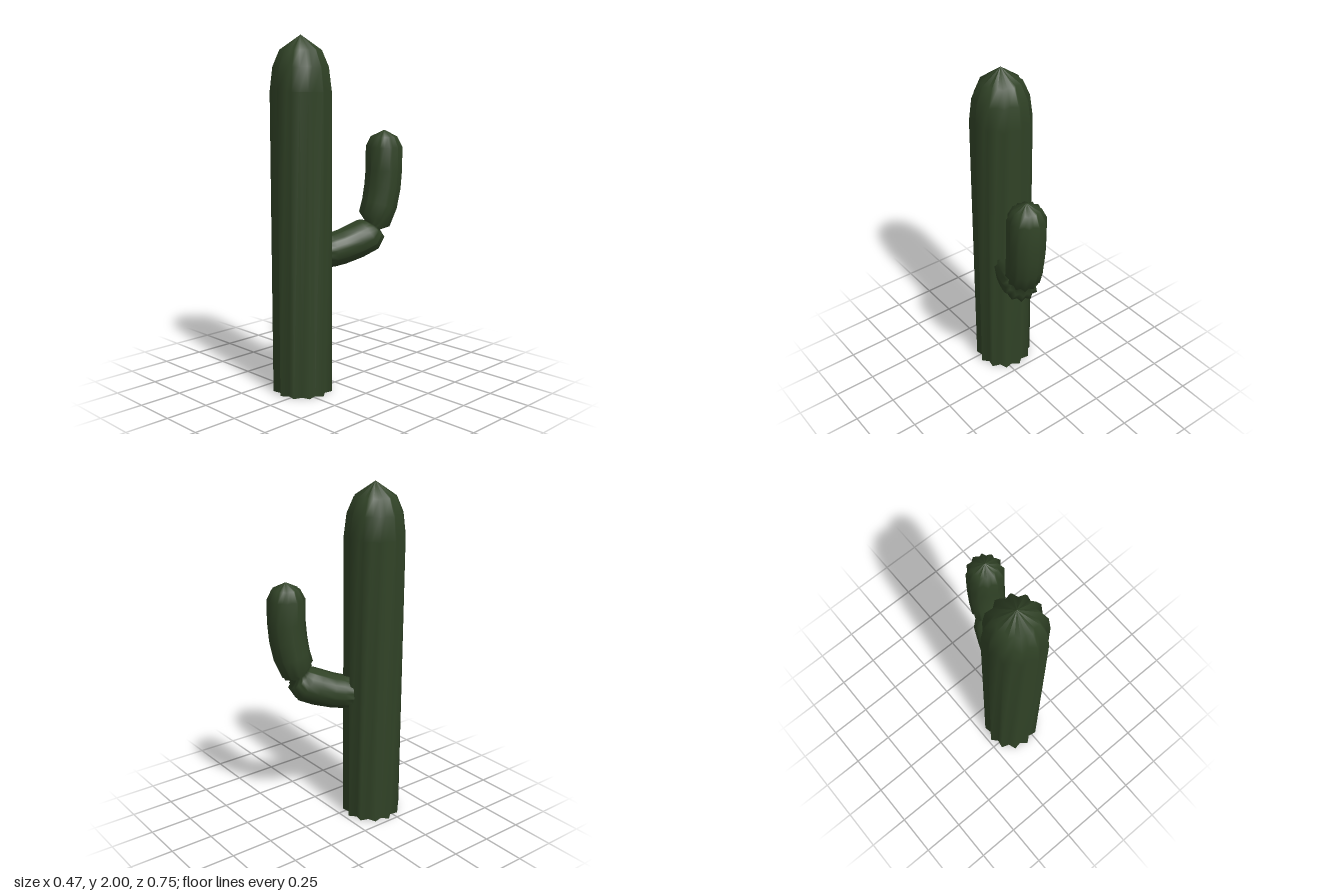
import * as THREE from 'three';

const RIBS = 12;

// Skins a ribbed (star-section) tube through rings { c, u, r }.
// c: ring centre, n: shared side axis, u: ring's second axis, r: rib radius.
function ribbedTube(rings, n, phase, valley) {
  const count = RIBS * 2;
  const positions = [];
  const index = [];
  rings.forEach(({ c, u, r }) => {
    for (let j = 0; j < count; j++) {
      const a = phase + (j / count) * Math.PI * 2;
      const radius = j % 2 ? r * valley : r;
      const p = c.clone()
        .addScaledVector(n, Math.cos(a) * radius)
        .addScaledVector(u, Math.sin(a) * radius);
      positions.push(p.x, p.y, p.z);
    }
  });
  for (let i = 0; i < rings.length - 1; i++) {
    for (let j = 0; j < count; j++) {
      const k = (j + 1) % count;
      const a = i * count + j, b = i * count + k;
      const c = a + count, d = b + count;
      index.push(a, c, b, b, c, d);
    }
  }
  const geometry = new THREE.BufferGeometry();
  geometry.setAttribute('position', new THREE.Float32BufferAttribute(positions, 3));
  geometry.setIndex(index);
  geometry.computeVertexNormals();
  return geometry;
}

export function createModel() {
  const group = new THREE.Group();
  group.name = 'cactus';
  const green = new THREE.MeshStandardMaterial({ color: 0x304226, side: THREE.DoubleSide });
  green.name = 'cactus green';

  // Trunk: straight column with a pointed dome, open underneath
  const trunkRings = [[0, 0.173], [1.7, 0.173], [1.83, 0.157], [1.92, 0.118], [2, 0.002]]
    .map(([y, r]) => ({
      c: new THREE.Vector3(-0.06, y, 0.2),
      u: new THREE.Vector3(0, 0, 1),
      r,
    }));
  const trunk = new THREE.Mesh(
    ribbedTube(trunkRings, new THREE.Vector3(1, 0, 0), 0, 0.84), green);
  trunk.name = 'trunk';
  group.add(trunk);

  // Arm: runs back and out of the trunk, pinches at the elbow, then rises
  const yaw = THREE.MathUtils.degToRad(23);
  const out = new THREE.Vector3(Math.sin(yaw), 0, -Math.cos(yaw));
  const side = new THREE.Vector3(Math.cos(yaw), 0, Math.sin(yaw));
  // distance outward, height, tilt in degrees, radius
  const armRings = [
    [0, 0.795, 0, 0.092],
    [0.05, 0.802, 4, 0.099],
    [0.11, 0.815, 10, 0.102],
    [0.2, 0.845, 20, 0.106],
    [0.265, 0.872, 32, 0.106],
    [0.3, 0.908, 50, 0.085],
    [0.298, 0.928, 55, 0.052],
    [0.31, 0.963, 61, 0.1],
    [0.342, 1.05, 74, 0.105],
    [0.36, 1.15, 83, 0.107],
    [0.368, 1.25, 90, 0.107],
    [0.368, 1.38, 90, 0.107],
    [0.368, 1.437, 90, 0.078],
    [0.368, 1.475, 90, 0.002],
  ].map(([s, y, tilt, r]) => {
    const t = THREE.MathUtils.degToRad(tilt);
    return {
      c: new THREE.Vector3(-0.015, y, 0.07).addScaledVector(out, s),
      u: new THREE.Vector3(0, Math.cos(t), 0).addScaledVector(out, -Math.sin(t)),
      r,
    };
  });
  const arm = new THREE.Mesh(
    ribbedTube(armRings, side, THREE.MathUtils.degToRad(7), 0.84), green);
  arm.name = 'arm';
  group.add(arm);

  return group;
}
